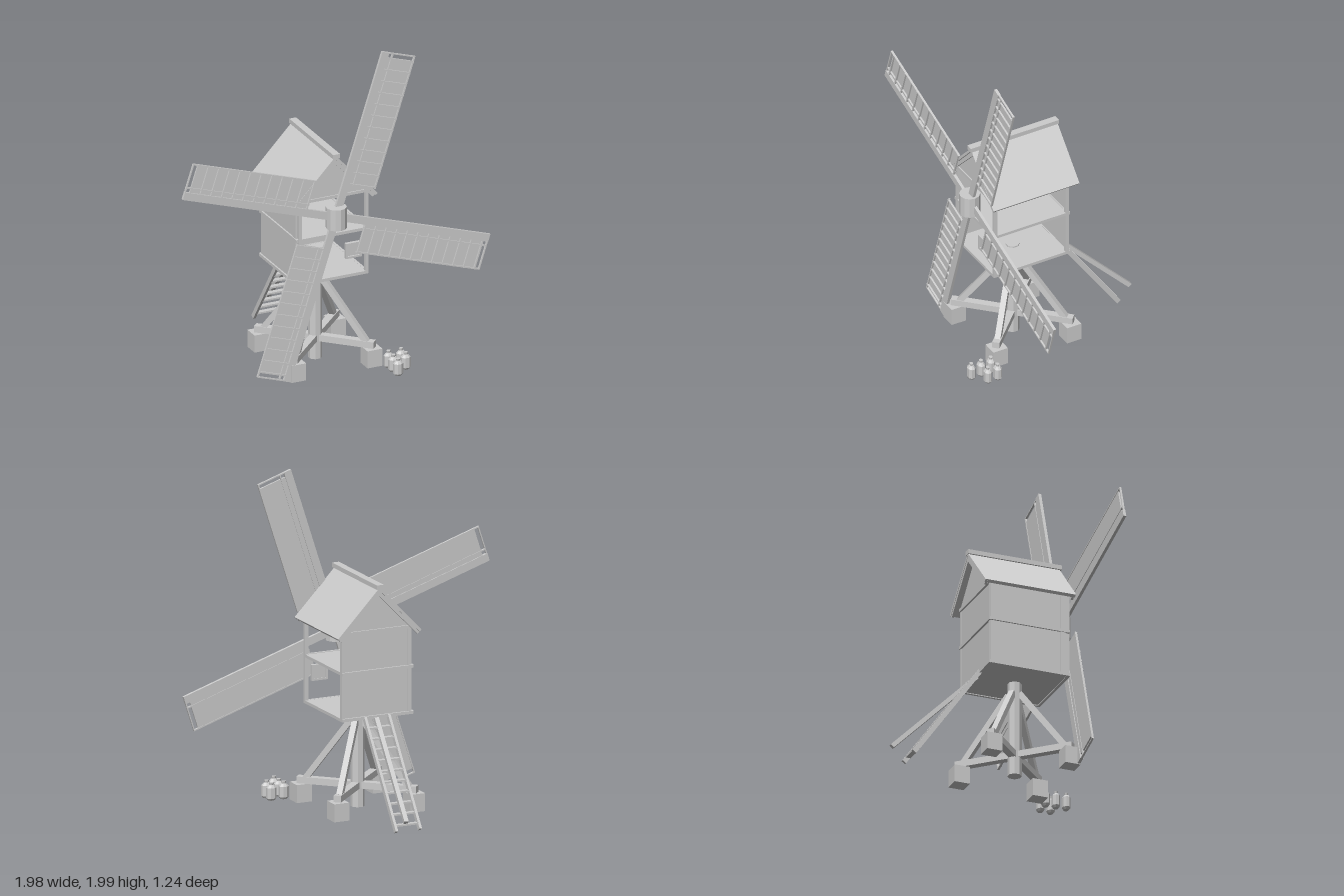
import * as THREE from 'three';

const timber = new THREE.MeshStandardMaterial({ color: 0xcccccc, flatShading: true, side: THREE.DoubleSide });
timber.name = 'pale timber';
const CZ = 0.14; // depth of the main post

function add(parent, name, geometry, x = 0, y = 0, z = 0) {
  const mesh = new THREE.Mesh(geometry, timber);
  mesh.name = name;
  mesh.position.set(x, y, z);
  parent.add(mesh);
  return mesh;
}

// Box given by its minimum and maximum corners
function block(parent, name, [x0, y0, z0], [x1, y1, z1]) {
  return add(parent, name, new THREE.BoxGeometry(x1 - x0, y1 - y0, z1 - z0),
    (x0 + x1) / 2, (y0 + y1) / 2, (z0 + z1) / 2);
}

// Straight beam between two points
function beam(parent, name, a, b, w, h = w) {
  const p = new THREE.Vector3(...a), q = new THREE.Vector3(...b);
  const mesh = add(parent, name, new THREE.BoxGeometry(w, h, p.distanceTo(q)));
  mesh.position.copy(p).add(q).multiplyScalar(0.5);
  mesh.lookAt(q);
  return mesh;
}

function group(parent, name) {
  const g = new THREE.Group();
  g.name = name;
  parent.add(g);
  return g;
}

function buildTrestle(root) {
  const g = group(root, 'trestle');
  add(g, 'mainPost', new THREE.CylinderGeometry(0.042, 0.042, 0.61, 8).rotateY(Math.PI / 8), 0, 0.315, CZ);
  for (const s of [-1, 1]) {
    beam(g, 'crossBeam', [-0.26, 0.14, CZ - s * 0.26], [0.26, 0.14, CZ + s * 0.26], 0.045, 0.04);
    for (const t of [-1, 1]) {
      add(g, 'footing', new THREE.BoxGeometry(0.096, 0.108, 0.096), s * 0.246, 0.066, CZ + t * 0.246);
      beam(g, 'brace', [s * 0.225, 0.15, CZ + t * 0.225], [s * 0.025, 0.53, CZ + t * 0.025], 0.035);
    }
  }
}

function buildBody(root) {
  const g = group(root, 'body');
  const X = 0.225, Z0 = -0.105, Z1 = 0.39;
  // Floors
  for (const y of [0.6, 0.875, 1.115])
    block(g, 'floor', [-X, y, Z0], [X, y + 0.012, Z1]);
  // Corner posts
  for (const x of [-X, X - 0.02])
    for (const z of [Z0 - 0.005, Z1 - 0.02])
      block(g, 'cornerPost', [x, 0.595, z], [x + 0.02, 1.13, z + 0.022]);
  block(g, 'frontStud', [-X - 0.01, 0.6, 0.33], [-X + 0.01, 1.12, 0.37]);
  // Closed walls
  block(g, 'sideWall', [-X - 0.005, 0.6, Z0], [-X + 0.005, 1.12, Z1 - 0.02]);
  add(g, 'backWall', new THREE.PlaneGeometry(2 * X, 0.52).rotateY(Math.PI), 0, 0.86, Z0);
  // Rails round the frame
  for (const y of [0.595, 0.872, 1.112]) {
    block(g, 'sideRail', [-X - 0.015, y, Z0 - 0.005], [-X + 0.005, y + 0.018, Z1]);
    block(g, 'openSideRail', [X - 0.015, y, Z0], [X, y + 0.018, Z1]);
    block(g, 'backRail', [-X - 0.01, y, Z0 - 0.012], [X, y + 0.018, Z0 + 0.008]);
    block(g, 'frontRail', [-X, y, Z1 - 0.015], [X, y + 0.018, Z1 + 0.002]);
  }
  // Small front window
  block(g, 'windowPane', [0.08, 0.725, 0.392], [0.16, 0.805, 0.4]);
  for (const x of [0.07, 0.16]) block(g, 'windowSide', [x, 0.72, 0.388], [x + 0.012, 0.815, 0.41]);
  for (const y of [0.72, 0.803]) block(g, 'windowBar', [0.07, y, 0.388], [0.172, y + 0.012, 0.41]);
}

function buildRoof(root) {
  const g = group(root, 'roof');
  const gable = new THREE.Shape([[-0.24, 1.125], [0.24, 1.125], [0, 1.375]].map(p => new THREE.Vector2(...p)));
  add(g, 'frontGable', new THREE.ShapeGeometry(gable), 0, 0, 0.385);
  add(g, 'backGable', new THREE.ShapeGeometry(gable).rotateY(Math.PI), 0, 0, -0.108);
  for (const s of [-1, 1]) {
    const slope = new THREE.Shape([[0, 1.39], [s * 0.27, 1.108], [s * 0.258, 1.094], [0, 1.37]]
      .map(p => new THREE.Vector2(...p)));
    add(g, 'roofSlope', new THREE.ExtrudeGeometry(slope, { depth: 0.575, bevelEnabled: false }), 0, 0, -0.155);
    const board = new THREE.Shape([[0, 1.375], [s * 0.264, 1.1], [s * 0.245, 1.082], [0, 1.335]]
      .map(p => new THREE.Vector2(...p)));
    for (const z of [-0.153, 0.392])
      add(g, 'bargeBoard', new THREE.ExtrudeGeometry(board, { depth: 0.014, bevelEnabled: false }), 0, 0, z);
  }
  block(g, 'ridgeCap', [-0.022, 1.378, -0.16], [0.022, 1.405, 0.43]);
}

function buildSails(root) {
  const g = group(root, 'sails');
  g.position.set(0, 1.008, 0.422);
  add(g, 'hub', new THREE.CylinderGeometry(0.062, 0.062, 0.132, 12), 0, 0, 0.004);
  for (let i = 0; i < 4; i++) {
    const sail = group(g, 'sail');
    sail.rotation.z = -THREE.MathUtils.degToRad(18) - i * Math.PI / 2;
    block(sail, 'stock', [-0.025, 0, -0.009], [0.022, 1.035, 0.009]);
    add(sail, 'canvas', new THREE.PlaneGeometry(0.18, 0.8), 0.11, 0.6, -0.004);
    for (const x of [0.05, 0.196])
      block(sail, 'longBatten', [x - 0.004, 0.2, -0.007], [x + 0.004, 1.035, 0.006]);
    for (let k = 0; k <= 11; k++) {
      const y = 0.203 + k * 0.072;
      block(sail, 'crossBatten', [0.02, y, -0.003], [0.2, y + 0.009, 0.008]);
    }
    block(sail, 'tipBatten', [0.02, 1.028, -0.006], [0.2, 1.035, 0.006]);
  }
}

function buildLadder(root) {
  const g = group(root, 'ladder');
  const top = [0.605, -0.11], foot = [0.015, -0.525];
  for (const x of [-0.077, 0.077])
    beam(g, 'ladderRail', [x, ...top], [x, ...foot], 0.016, 0.028);
  for (let i = 1; i <= 10; i++) {
    const t = i / 10.6;
    add(g, 'tread', new THREE.BoxGeometry(0.15, 0.01, 0.03),
      0, top[0] + (foot[0] - top[0]) * t, top[1] + (foot[1] - top[1]) * t);
  }
  beam(root, 'tailPole', [0, 0.6, -0.1], [0.055, 0.09, -0.61], 0.026);
}

function buildSacks(root) {
  const profile = [[0, 0.012], [0.02, 0.012], [0.031, 0.025], [0.031, 0.088], [0.018, 0.102],
    [0.011, 0.104], [0.014, 0.118], [0, 0.118]].map(p => new THREE.Vector2(...p));
  const geometry = new THREE.LatheGeometry(profile, 8).rotateY(Math.PI / 8).scale(1, 1, 0.8);
  for (const [x, z] of [[0.317, 0.467], [0.397, 0.467], [0.317, 0.532], [0.397, 0.532], [0.317, 0.597]])
    add(root, 'sack', geometry, x, 0, z);
}

export function createModel() {
  const root = new THREE.Group();
  root.name = 'postMill';
  buildTrestle(root);
  buildBody(root);
  buildRoof(root);
  buildSails(root);
  buildLadder(root);
  buildSacks(root);
  return root;
}
